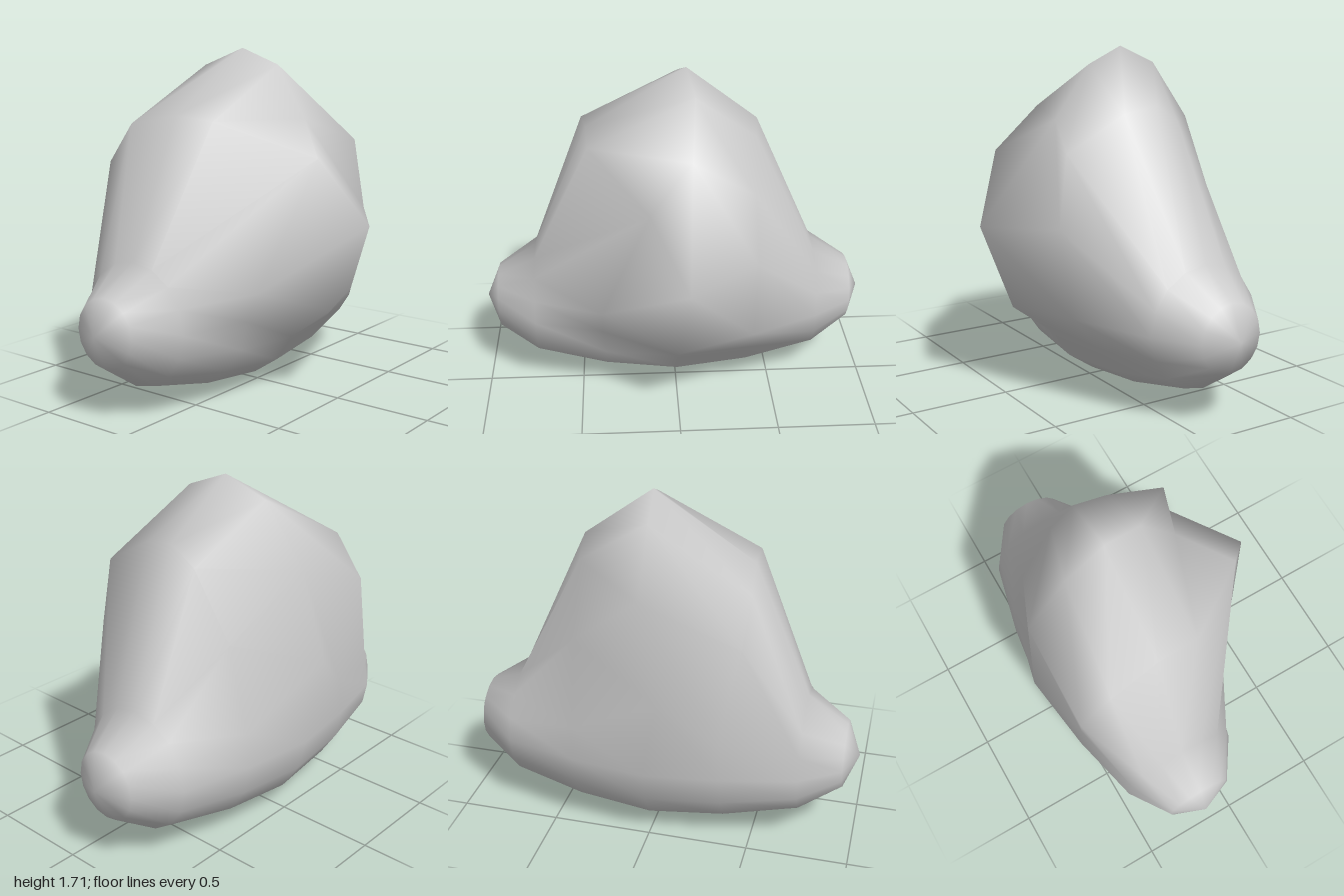
import * as THREE from 'three';

const SEGMENTS = 16;
const CENTRE_X = -0.18, CENTRE_Y = 0.43;

// Distance along z and radius of each ring between the two rounded ends
const RINGS = [[0.93, 0.17], [0.73, 0.305], [0.37, 0.39], [0, 0.43], [-0.37, 0.39], [-0.73, 0.305], [-0.93, 0.17]];

// Raised upper arcs of the three middle rings, from the +x side over the top to the -x side
const RAISED = {
  2: [[0.22, 0.43, 0.38], [0.29, 0.58, 0.38], [0.46, 1.21, 0.14], [0.06, 1.38, 0.43], [-0.16, 1.4, 0.44],
    [-0.42, 1.35, 0.47], [-0.58, 1.15, 0.46], [-0.55, 0.61, 0.36], [-0.57, 0.43, 0.37]],
  3: [[0.45, 0.44, 0], [0.64, 0.88, -0.04], [0.24, 1.37, -0.07], [0.06, 1.63, -0.09], [-0.14, 1.71, -0.06],
    [-0.36, 1.62, -0.03], [-0.58, 1.33, -0.02], [-0.65, 0.85, 0.08], [-0.62, 0.43, 0]],
  4: [[0.33, 0.46, -0.38], [0.4, 0.9, -0.38], [0.35, 1.25, -0.36], [0.05, 1.42, -0.39], [-0.12, 1.45, -0.41],
    [-0.25, 1.36, -0.4], [-0.45, 1.03, -0.38], [-0.55, 0.6, -0.37], [-0.57, 0.43, -0.37]],
};

// Point on a long ellipsoid lying along z, unless it belongs to a raised arc
function ringPoint(ring, segment) {
  const raised = RAISED[ring]?.[segment];
  if (raised) return raised;
  const [z, radius] = RINGS[ring];
  const angle = (segment / SEGMENTS) * Math.PI * 2;
  return [CENTRE_X + radius * Math.cos(angle), CENTRE_Y + radius * Math.sin(angle), z];
}

function bodyGeometry() {
  const positions = [CENTRE_X, CENTRE_Y, 1];
  for (let r = 0; r < RINGS.length; r++) {
    for (let s = 0; s < SEGMENTS; s++) positions.push(...ringPoint(r, s));
  }
  positions.push(CENTRE_X, CENTRE_Y, -1);
  const tail = positions.length / 3 - 1;
  const lastRing = RINGS.length - 1;
  const at = (r, s) => 1 + r * SEGMENTS + (s % SEGMENTS);

  const index = [];
  for (let s = 0; s < SEGMENTS; s++) {
    // Rounded front and back ends
    index.push(0, at(0, s), at(0, s + 1));
    index.push(tail, at(lastRing, s + 1), at(lastRing, s));
    // Bands between neighbouring rings
    for (let r = 0; r < lastRing; r++) {
      const a = at(r, s), b = at(r, s + 1), c = at(r + 1, s + 1), d = at(r + 1, s);
      index.push(a, d, b, d, c, b);
    }
  }
  const geometry = new THREE.BufferGeometry();
  geometry.setAttribute('position', new THREE.Float32BufferAttribute(positions, 3));
  geometry.setIndex(index);
  geometry.computeVertexNormals();
  return geometry;
}

export function createModel() {
  const group = new THREE.Group();
  group.name = 'rock';
  const body = new THREE.Mesh(bodyGeometry(), new THREE.MeshStandardMaterial({ color: 0xcccccc }));
  body.name = 'rockBody';
  group.add(body);
  return group;
}
